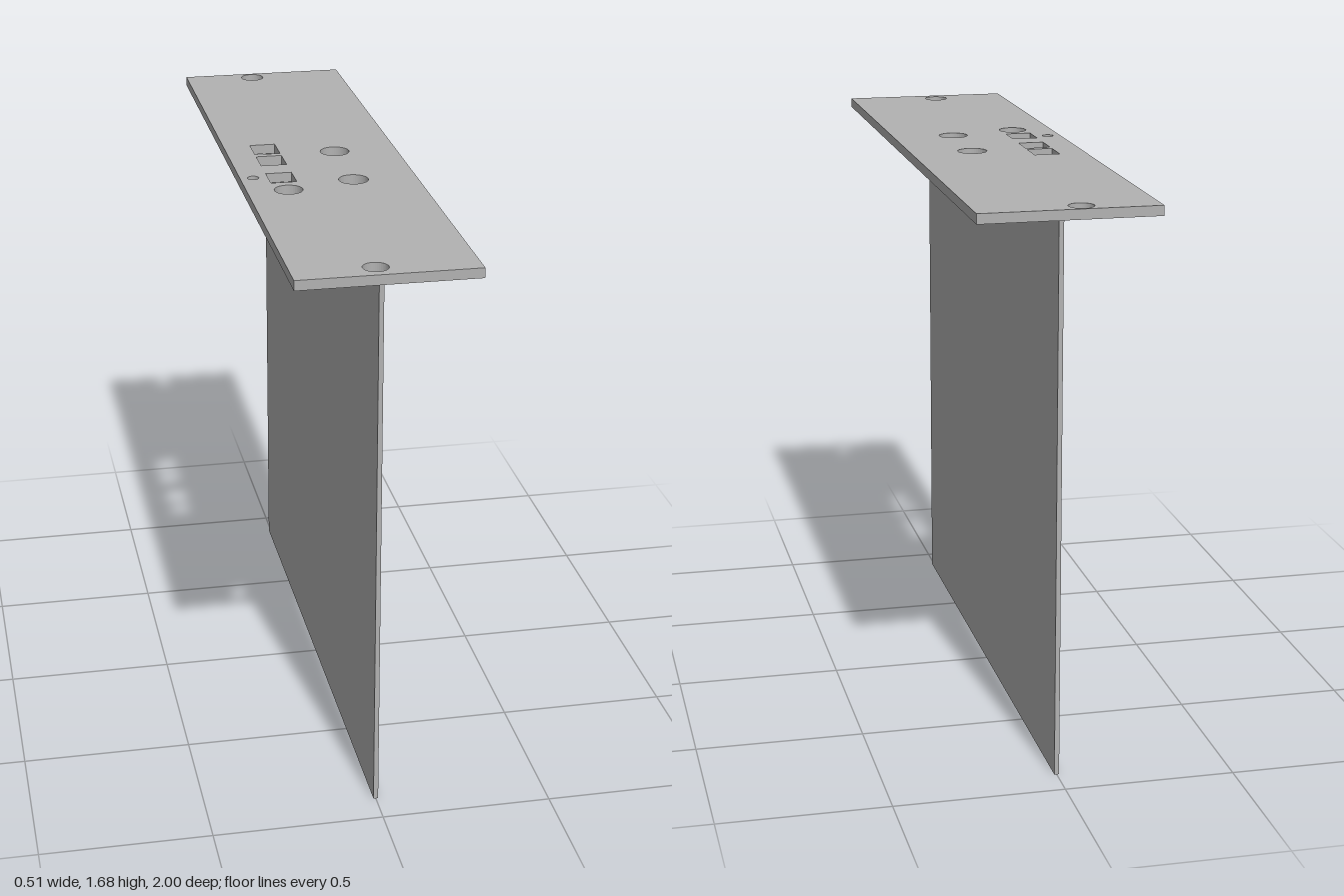
import * as THREE from 'three';

export function createModel() {
  const model = new THREE.Group();
  const metal = new THREE.MeshStandardMaterial({ color: 0xb2b2b2 });
  metal.name = 'grey metal';

  const add = (name, geometry) => {
    const mesh = new THREE.Mesh(geometry, metal);
    mesh.name = name;
    model.add(mesh);
    return mesh;
  };
  const polygon = (...points) => points.map(([x, y]) => new THREE.Vector2(x, y));
  const rectangle = (x0, z0, x1, z1) => polygon([x0, z0], [x1, z0], [x1, z1], [x0, z1]);

  // Face plate: drawn in x and z, then laid flat
  const topY = 1.68, plateBottom = 1.651;
  const plate = new THREE.Shape(rectangle(-0.257, -1, 0.257, 1));

  // Round holes: x, z, radius
  const roundHoles = [
    [-0.04, -0.955, 0.036], [-0.026, 0.939, 0.036], // mounting screws
    [0.069, -0.085, 0.044], [0.069, 0.196, 0.044],  // above the flange
    [-0.135, 0.255, 0.042], [-0.218, 0.127, 0.017], // round socket, indicator
  ];
  for (const [x, z, r] of roundHoles) {
    plate.holes.push(new THREE.Path().absarc(x, z, r, 0, Math.PI * 2, true));
  }

  // Rectangular socket openings: start and end along z
  for (const [z0, z1] of [[-0.191, -0.096], [-0.074, 0.016], [0.095, 0.185]]) {
    plate.holes.push(new THREE.Path(rectangle(-0.175, z0, -0.098, z1)));
  }
  const plateGeometry = new THREE.ExtrudeGeometry(plate, {
    depth: topY - plateBottom, bevelEnabled: false, curveSegments: 20,
  });
  plateGeometry.rotateX(Math.PI / 2);
  add('facePlate', plateGeometry).position.y = topY;

  // Upright panel with a folded flange under the face plate
  const t = 0.007, flangeBottom = 1.637;
  const section = new THREE.Shape(polygon(
    [-t, 0], [t, 0], [t, flangeBottom], [0.126, flangeBottom],
    [0.126, plateBottom], [-t, plateBottom],
  ));
  const panelGeometry = new THREE.ExtrudeGeometry(section, { depth: 1.8, bevelEnabled: false });
  add('panelWithFlange', panelGeometry).position.z = -0.9;

  return model;
}
